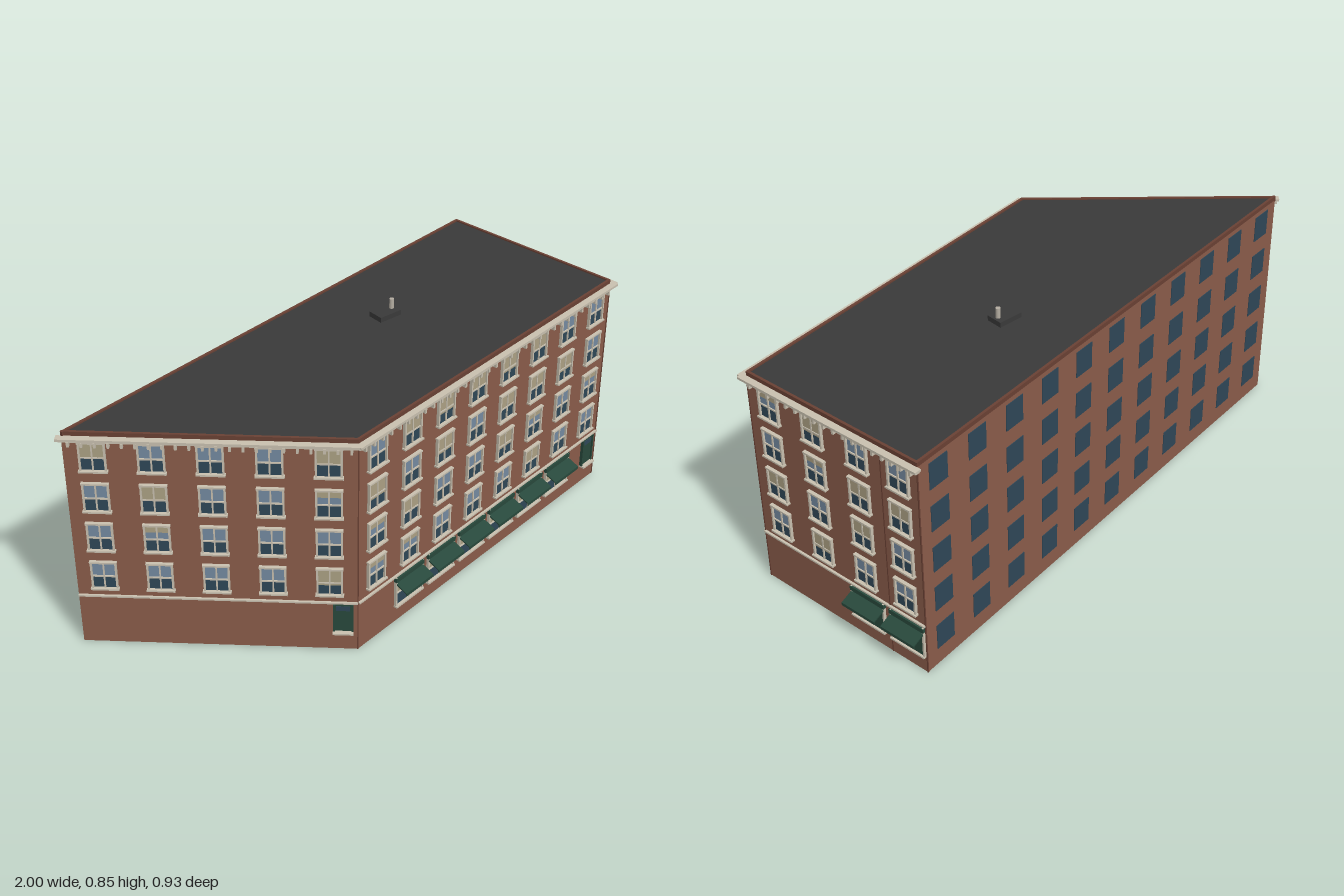
import * as THREE from 'three';

const mat = (name, color) => {
  const m = new THREE.MeshStandardMaterial({ color });
  m.name = name;
  return m;
};
const M = {
  brick: mat('brick', 0x8a5c4a),
  darkBrick: mat('dark brick', 0x6a4134),
  cream: mat('cream trim', 0xc9c1b0),
  roof: mat('roof tar', 0x3a3a3a),
  glass: mat('dark glass', 0x2f4757),
  sky: mat('sky glass', 0x748aa0),
  blind: mat('window blind', 0xaca184),
  green: mat('green paint', 0x28493c),
  pipe: mat('vent metal', 0xb5aea2),
};

const unitBox = new THREE.BoxGeometry(1, 1, 1);

// Box given by centre x, bottom y, back z and its size
function box(parent, name, m, x, y, z, w, h, d) {
  const mesh = new THREE.Mesh(unitBox, m);
  mesh.name = name;
  mesh.scale.set(w, h, d);
  mesh.position.set(x, y + h / 2, z + d / 2);
  parent.add(mesh);
  return mesh;
}

function subgroup(parent, name, x, y) {
  const g = new THREE.Group();
  g.name = name;
  g.position.set(x, y, 0);
  parent.add(g);
  return g;
}

let seed = 11;
const rand = () => (seed = (seed * 16807) % 2147483647) / 2147483647;

// Double-hung window with blind at one of several heights
function sashWindow(wall, x, y, style) {
  const g = subgroup(wall, 'sashWindow', x, y);
  const w = 0.074, h = 0.1;
  box(g, 'lowerPane', M.glass, 0, 0, 0, w, 0.045, 0.003);
  box(g, 'upperPane', M.sky, 0, 0.045, 0, w, h - 0.045, 0.003);
  const drop = [0, 0.028, 0.055, 0.065][style];
  if (drop) box(g, 'blind', M.blind, 0, h - drop, 0, w, drop, 0.0045);
  for (const s of [-1, 1]) box(g, 'jamb', M.cream, s * 0.0385, 0, 0, 0.006, h, 0.01);
  box(g, 'mullion', M.cream, 0, 0, 0, 0.005, h, 0.007);
  box(g, 'meetingRail', M.cream, 0, 0.043, 0, w, 0.005, 0.007);
  box(g, 'sill', M.cream, 0, -0.005, 0, 0.09, 0.006, 0.015);
  box(g, 'lintel', M.cream, 0, h - 0.003, 0, 0.086, 0.006, 0.012);
}

// Sloped awning with a short valance, profile in depth and height
const awningShape = new THREE.Shape([
  [0, 0.166], [0.052, 0.144], [0.052, 0.133], [0.049, 0.133], [0.049, 0.141], [0, 0.16],
].map(([z, y]) => new THREE.Vector2(z, y)));
const awningGeo = new THREE.ExtrudeGeometry(awningShape, { depth: 0.136, bevelEnabled: false });
awningGeo.translate(0, 0, -0.068);
awningGeo.rotateY(-Math.PI / 2);

function storefront(wall, x, withDoor) {
  const g = subgroup(wall, 'storefront', x, 0);
  const w = 0.132;
  box(g, 'displayGlass', M.glass, 0, 0.068, 0, w, 0.05, 0.003);
  box(g, 'displayBlind', M.blind, 0, 0.118, 0, w, 0.05, 0.003);
  if (withDoor) box(g, 'shopDoor', M.green, 0.041, 0.068, 0, 0.046, 0.09, 0.006);
  for (const s of [-1, 1]) box(g, 'frameSide', M.cream, s * 0.066, 0.065, 0, 0.006, 0.118, 0.01);
  box(g, 'frameSill', M.cream, 0, 0.063, 0, 0.14, 0.006, 0.014);
  box(g, 'transomBar', M.cream, withDoor ? -0.023 : 0, 0.115, 0, withDoor ? 0.086 : w, 0.004, 0.007);
  box(g, 'frameMullion', M.cream, withDoor ? 0.017 : 0, 0.068, 0, 0.004, 0.1, 0.007);
  box(g, 'signBand', M.green, 0, 0.167, 0, 0.14, 0.016, 0.012);
  const awning = new THREE.Mesh(awningGeo, M.green);
  awning.name = 'awning';
  g.add(awning);
}

function entrance(wall, x) {
  const g = subgroup(wall, 'entrance', x, 0);
  box(g, 'door', M.green, 0, 0.078, 0, 0.056, 0.107, 0.006);
  box(g, 'doorLight', M.glass, 0, 0.16, 0, 0.044, 0.018, 0.008);
  for (const s of [-1, 1]) box(g, 'doorJamb', M.green, s * 0.029, 0.078, 0, 0.006, 0.107, 0.011);
  box(g, 'doorStep', M.cream, 0, 0.072, 0, 0.066, 0.006, 0.022);
}

// Belt course, cornice and brackets of a street wall
function streetTrim(wall, len) {
  box(wall, 'beltCourse', M.cream, len / 2, 0.186, 0, len, 0.006, 0.008);
  box(wall, 'corniceLower', M.cream, len / 2, 0.773, 0, len + 0.016, 0.006, 0.012);
  box(wall, 'corniceUpper', M.cream, len / 2, 0.783, 0, len + 0.03, 0.008, 0.024);
  box(wall, 'corniceCore', M.cream, len / 2, 0.778, 0, len + 0.012, 0.006, 0.008);
  const n = Math.round(len / 0.04);
  for (let i = 0; i < n; i++) {
    box(wall, 'bracket', M.cream, (i + 0.5) * len / n, 0.757, 0, 0.008, 0.017, 0.014);
  }
  box(wall, 'cornerSeam', M.darkBrick, len, 0, -0.002, 0.004, 0.773, 0.004);
}

export function createModel() {
  const model = new THREE.Group();
  model.name = 'cornerBuilding';
  seed = 11;

  // Footprint corners as x, z, walking along the street walls to the back
  const P = [[-0.977, -0.155], [-0.325, 0.438], [0.97, 0.229], [0.899, -0.308], [0.88, -0.45]];

  // Brick body with tarred roof and underside
  const outline = new THREE.Shape(P.map(([x, z]) => new THREE.Vector2(x, -z)));
  const bodyGeo = new THREE.ExtrudeGeometry(outline, { depth: 0.8, bevelEnabled: false });
  bodyGeo.rotateX(-Math.PI / 2);
  const body = new THREE.Mesh(bodyGeo, [M.roof, M.brick]);
  body.name = 'body';
  model.add(body);

  const rowY = [0.224, 0.373, 0.522, 0.671];
  const walls = [
    { name: 'leftWall', cols: 5 },
    { name: 'frontWall', cols: 8, shops: [1, 2, 3, 4, 5, 6] },
    { name: 'rightWall', cols: 3, shops: [2], shopDoor: true,
      styles: [[0, 3, 0, 0], [2, 0, 2, 0], [0, 1, 2, 2], [1, 3, 0, 0]].map((r) => r.slice(0, 3)) },
    { name: 'rightRearWall', cols: 1, shops: [0], shopDoor: true, styles: [[0], [0], [2], [0]] },
    { name: 'backWall', cols: 11, plain: true },
  ];

  walls.forEach((spec, k) => {
    const [ax, az] = P[k];
    const [bx, bz] = P[(k + 1) % P.length];
    const len = Math.hypot(bx - ax, bz - az);
    const wall = new THREE.Group();
    wall.name = spec.name;
    wall.position.set(ax, 0, az);
    wall.rotation.y = Math.atan2(az - bz, bx - ax);
    model.add(wall);

    const pitch = len / spec.cols;
    box(wall, 'parapet', M.darkBrick, len / 2, 0.79, -0.008, len, 0.015, 0.009);

    if (spec.plain) {
      // Plain dark panes on the back
      for (let r = 0; r < 5; r++) {
        for (let c = 0; c < spec.cols; c++) {
          box(wall, 'backPane', M.glass, (c + 0.5) * pitch, 0.062 + r * 0.154, 0, 0.078, 0.094, 0.002);
        }
      }
      return;
    }

    streetTrim(wall, len);
    rowY.forEach((y, r) => {
      for (let c = 0; c < spec.cols; c++) {
        const pick = Math.floor(rand() * 5.99);
        const style = spec.styles ? spec.styles[r][c] : [0, 0, 0, 1, 2, 3][pick];
        sashWindow(wall, (c + 0.5) * pitch, y, style);
      }
    });
    for (const c of spec.shops || []) storefront(wall, (c + 0.5) * pitch, spec.shopDoor);
    if (k === 0) entrance(wall, 0.835);
    if (k === 1) entrance(wall, 1.256);
  });

  // Rooftop unit and vent pipe
  box(model, 'rooftopUnit', M.roof, 0.22, 0.8, -0.108, 0.088, 0.018, 0.058);
  const pipe = new THREE.Mesh(new THREE.CylinderGeometry(0.008, 0.008, 0.036, 12), M.pipe);
  pipe.name = 'ventPipe';
  pipe.position.set(0.248, 0.835, -0.08);
  model.add(pipe);

  return model;
}
